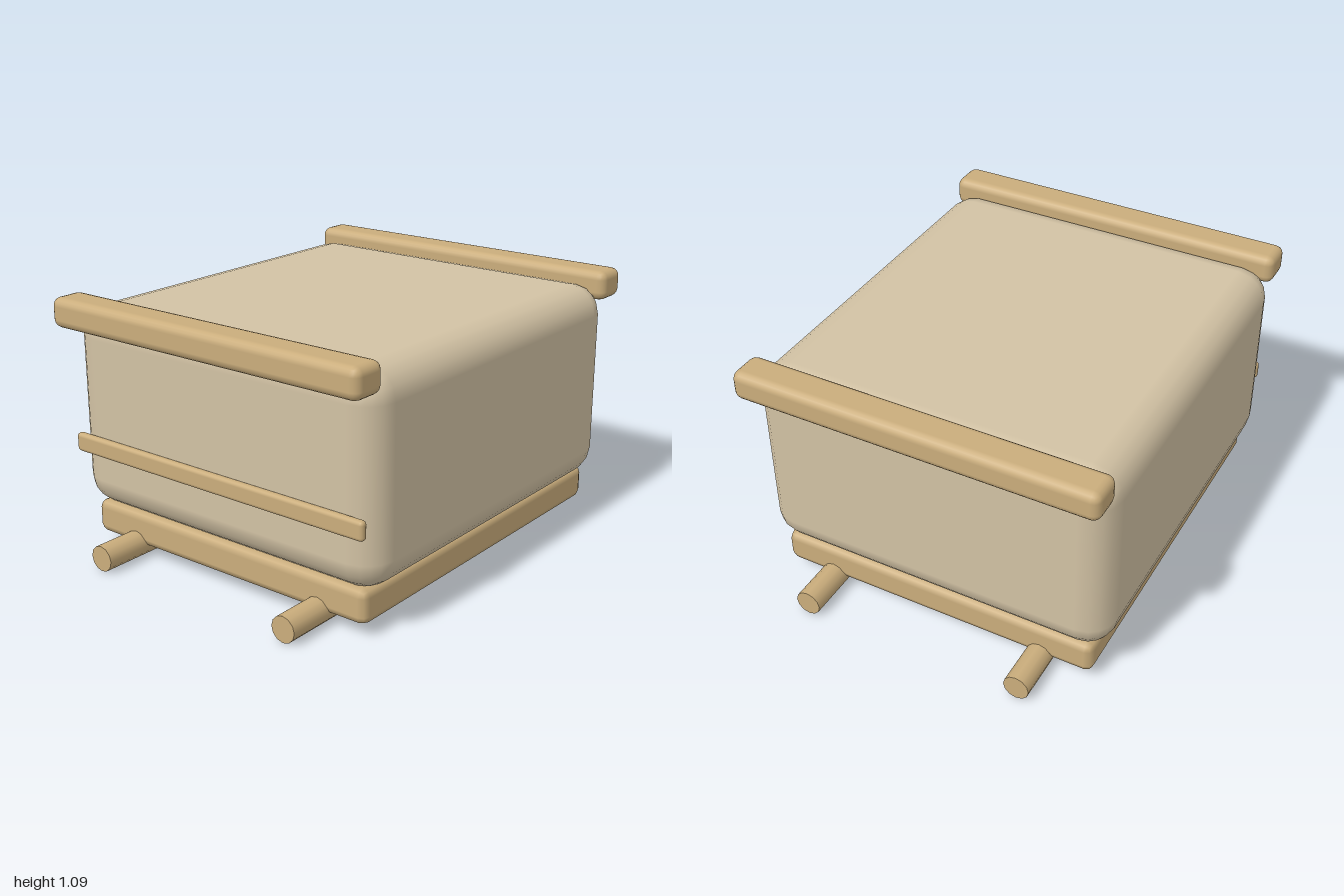
import * as THREE from 'three';
import { RoundedBoxGeometry } from 'three/addons/geometries/RoundedBoxGeometry.js';

export function createModel() {
  const model = new THREE.Group();
  model.name = 'crate';

  const canvas = new THREE.MeshStandardMaterial({ color: 0xd2c2a4 });
  canvas.name = 'pale canvas';
  const wood = new THREE.MeshStandardMaterial({ color: 0xcaad7c });
  wood.name = 'tan wood';

  const add = (name, geometry, material, x, y, z) => {
    const mesh = new THREE.Mesh(geometry, material);
    mesh.name = name;
    mesh.position.set(x, y, z);
    model.add(mesh);
    return mesh;
  };

  // Soft-edged main box
  add('body', new RoundedBoxGeometry(1.545, 0.86, 1.675, 2, 0.127), canvas, 0, 0.61, 0);

  // Plinth below the body
  add('base', new RoundedBoxGeometry(1.42, 0.145, 1.61, 1, 0.034), wood, 0, 0.1225, 0);

  // Thin strip across the front
  add('frontStrip', new RoundedBoxGeometry(1.49, 0.08, 0.036, 2, 0.016), wood, 0, 0.464, 0.85);

  // Rails along the front and back top edges
  for (const [name, side] of [['frontRail', 1], ['backRail', -1]]) {
    add(name, new RoundedBoxGeometry(1.545, 0.126, 0.156, 2, 0.036), wood, 0, 1.027, side * 0.856);
  }

  // Round runners under the base
  for (const [name, side] of [['leftRunner', 1], ['rightRunner', -1]]) {
    const runner = add(name, new THREE.CylinderGeometry(0.055, 0.055, 2, 12), wood, side * 0.484, 0.055, 0);
    runner.rotation.x = Math.PI / 2;
  }

  return model;
}
